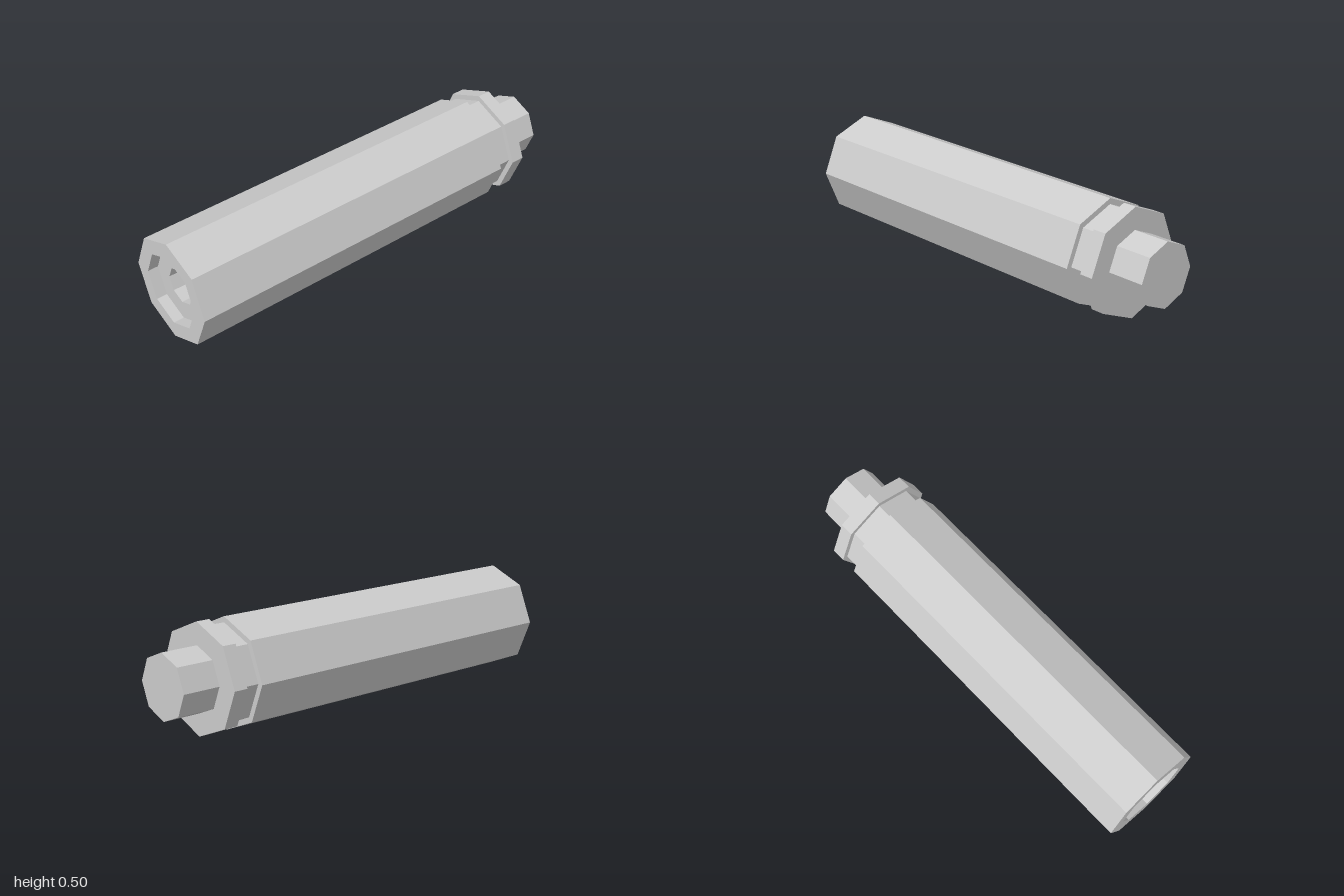
import * as THREE from 'three';

const SIDES = 8;
const AXIS_Y = 0.248;

// Turns a profile of [radius, z] pairs, listed back to front, around the z axis.
function turnedPart(name, profile, material) {
  const points = profile.map(([r, z]) => new THREE.Vector2(r, z));
  const geometry = new THREE.LatheGeometry(points, SIDES).toNonIndexed();
  geometry.rotateX(Math.PI / 2);
  geometry.computeVertexNormals();
  const mesh = new THREE.Mesh(geometry, material);
  mesh.name = name;
  mesh.position.y = AXIS_Y;
  return mesh;
}

export function createModel() {
  const model = new THREE.Group();
  model.name = 'octagonalBarrel';
  const grey = new THREE.MeshStandardMaterial({ color: 0xcccccc, flatShading: true });

  const stemR = 0.147, flangeR = 0.248, neckR = 0.222, barrelR = 0.248;
  const recessR = 0.173, boreR = 0.085;

  model.add(
    // Closed plug at the back
    turnedPart('rearStem', [[0, -1], [stemR, -1], [stemR, -0.822]], grey),
    // Collar between stem and neck
    turnedPart('rearFlange', [[stemR, -0.822], [flangeR, -0.822], [flangeR, -0.757], [neckR, -0.757]], grey),
    // Groove between collar and barrel
    turnedPart('neck', [[neckR, -0.757], [neckR, -0.68]], grey),
    // Long barrel with its front rim
    turnedPart('barrel', [[neckR, -0.68], [barrelR, -0.68], [barrelR, 1], [recessR, 1]], grey),
    // Shallow stepped recess in the front face
    turnedPart('muzzleRecess', [[recessR, 1], [recessR, 0.95], [boreR, 0.95]], grey),
    // Deep blind bore
    turnedPart('bore', [[boreR, 0.95], [boreR, 0.3], [0, 0.3]], grey),
  );
  return model;
}
